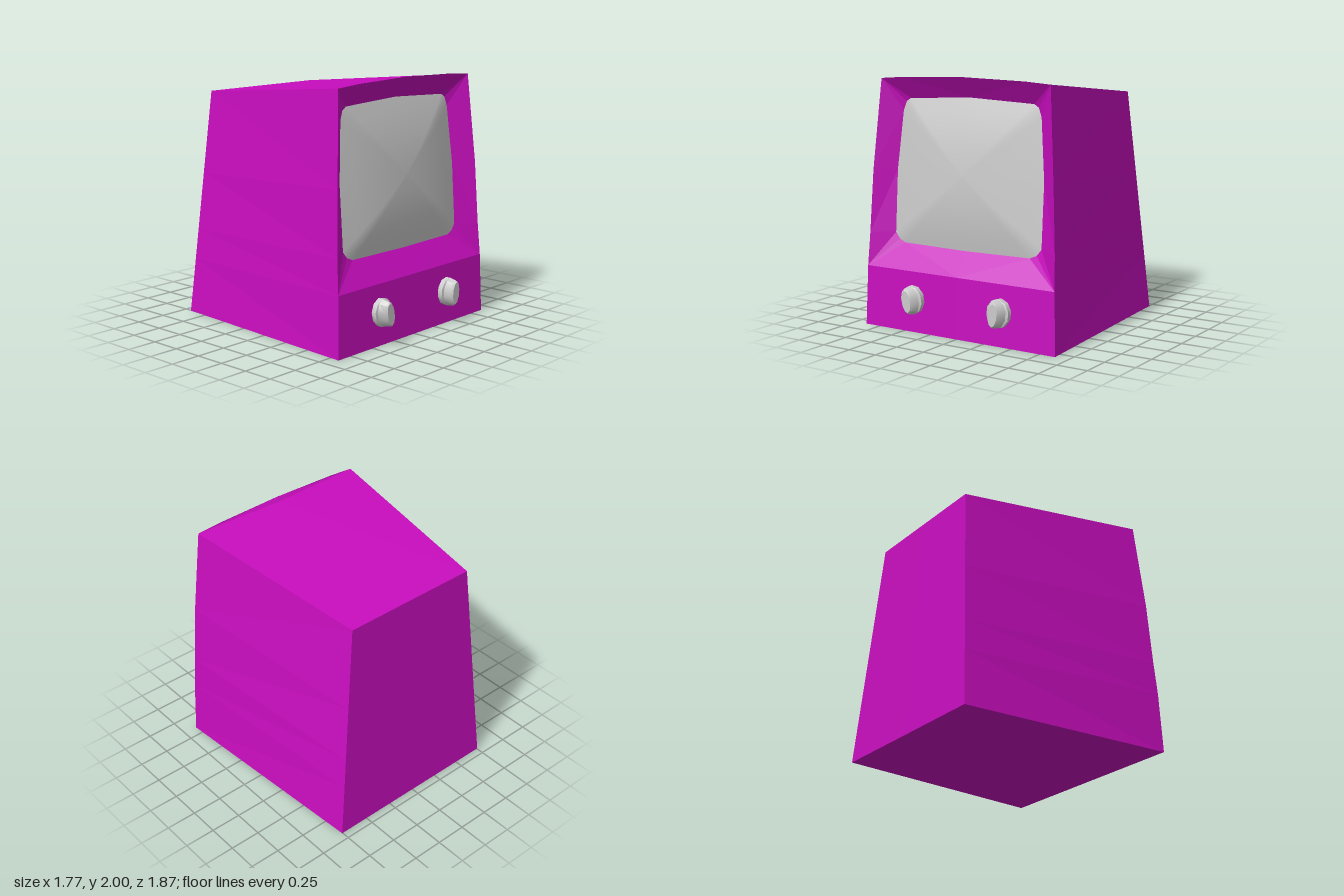
import * as THREE from 'three';
import { toCreasedNormals } from 'three/addons/utils/BufferGeometryUtils.js';

const screenZ = (y) => 0.70 - 0.068 * (y - 0.67);

// Right half of the screen opening, from bottom middle to top middle
const opening = [[0, 0.667], [0.58, 0.675], [0.64, 0.70], [0.68, 0.75], [0.68, 1.25],
  [0.637, 1.72], [0.61, 1.79], [0.57, 1.815], [0, 1.84]].map(([x, y]) => [x, y, screenZ(y)]);

// Matching half of the outer front rim
const corner = [0.775, 1.97, 0.73];
const sill = [0.87, 0.48, 0.82];
const rim = [[0, 0.48, 0.82], sill, sill, [0.858, 0.75, 0.80], [0.832, 1.25, 0.779],
  corner, corner, [0.56, 1.985, 0.73], [0, 2, 0.73]];

function createCase(material) {
  const pos = [];
  const mirror = ([x, y, z]) => [-x, y, z];
  const tri = (a, b, c) => {
    const area = new THREE.Triangle(...[a, b, c].map((p) => new THREE.Vector3(...p))).getArea();
    if (area > 1e-7) pos.push(...a, ...b, ...c);
  };
  // Each quad is added together with its mirror image
  const quad = (a, b, c, d) => {
    tri(a, b, c);
    tri(a, c, d);
    const [e, f, g, h] = [a, b, c, d].map(mirror);
    tri(e, g, f);
    tri(e, h, g);
  };
  const foot = [0.885, 0, 0.835];
  const backFoot = [0.755, 0, -0.935];
  const backTop = [0.575, 1.825, -0.83];
  const mid = ([, y, z]) => [0, y, z];

  // Sloping bezel around the screen
  for (let i = 0; i < rim.length - 1; i++) quad(rim[i], rim[i + 1], opening[i + 1], opening[i]);
  // Control panel
  quad(mid(foot), foot, sill, mid(sill));
  // Sides, following the bowed front edge
  const edge = [foot, sill, rim[3], rim[4], corner];
  const backAt = (p) => backFoot.map((v, k) => v + (backTop[k] - v) * p[1] / corner[1]);
  for (let i = 0; i < edge.length - 1; i++) {
    quad(edge[i], backAt(edge[i]), backAt(edge[i + 1]), edge[i + 1]);
  }
  // Back, bottom, top and the raised lip above the screen
  const lipBase = [0, 1.967, 0.705];
  quad(backFoot, mid(backFoot), mid(backTop), backTop);
  quad(mid(backFoot), backFoot, foot, mid(foot));
  quad(lipBase, corner, backTop, mid(backTop));
  quad(rim[8], rim[7], corner, lipBase);

  const geometry = new THREE.BufferGeometry();
  geometry.setAttribute('position', new THREE.Float32BufferAttribute(pos, 3));
  geometry.computeVertexNormals();
  return new THREE.Mesh(geometry, material);
}

// Bulging glass: the opening outline shrunk in rings towards its centre
function createScreen(material) {
  const left = opening.slice(1, -1).reverse().map(([x, y, z]) => [-x, y, z]);
  const outline = [...opening, ...left];
  const n = outline.length;
  const rings = 5;
  const centreY = 1.25;
  const pos = [];
  const index = [];
  for (let r = 0; r <= rings; r++) {
    const t = 1 - r / rings;
    for (const [x, y] of outline) {
      const py = centreY + (y - centreY) * t;
      pos.push(x * t, py, screenZ(py) + 0.08 * (1 - t * t));
    }
  }
  for (let r = 0; r < rings; r++) {
    for (let i = 0; i < n; i++) {
      const a = r * n + i;
      const b = r * n + (i + 1) % n;
      index.push(a, b, b + n);
      if (r < rings - 1) index.push(a, b + n, a + n);
    }
  }
  const geometry = new THREE.BufferGeometry();
  geometry.setAttribute('position', new THREE.Float32BufferAttribute(pos, 3));
  geometry.setIndex(index);
  geometry.computeVertexNormals();
  return new THREE.Mesh(geometry, material);
}

// Round base narrowing to a tall finger grip: [depth, half width, half height]
function createKnob(material) {
  const sections = [[0, 0.1, 0.113], [0.045, 0.1, 0.113], [0.05, 0.078, 0.112],
    [0.1, 0.055, 0.102], [0.115, 0.04, 0.09]];
  const steps = sections.length - 1;
  const geometry = new THREE.CylinderGeometry(1, 1, 1, 10, steps).rotateX(Math.PI / 2);
  const p = geometry.attributes.position;
  for (let i = 0; i < p.count; i++) {
    const [z, w, h] = sections[Math.round((p.getZ(i) + 0.5) * steps)];
    p.setXYZ(i, p.getX(i) * w, p.getY(i) * h, z);
  }
  return new THREE.Mesh(toCreasedNormals(geometry, 0.7), material);
}

export function createModel() {
  const group = new THREE.Group();
  const shell = new THREE.MeshStandardMaterial({ color: 0xc80dbe, flatShading: true });
  const grey = new THREE.MeshStandardMaterial({ color: 0xcccccc });

  const body = createCase(shell);
  body.name = 'case';
  const screen = createScreen(grey);
  screen.name = 'screen';
  group.add(body, screen);

  for (const [name, x, turn] of [['rightKnob', -0.405, 0.2], ['leftKnob', 0.4, -0.1]]) {
    const knob = createKnob(grey);
    knob.name = name;
    knob.position.set(x, 0.262, 0.82);
    knob.rotation.z = turn;
    group.add(knob);
  }
  return group;
}
